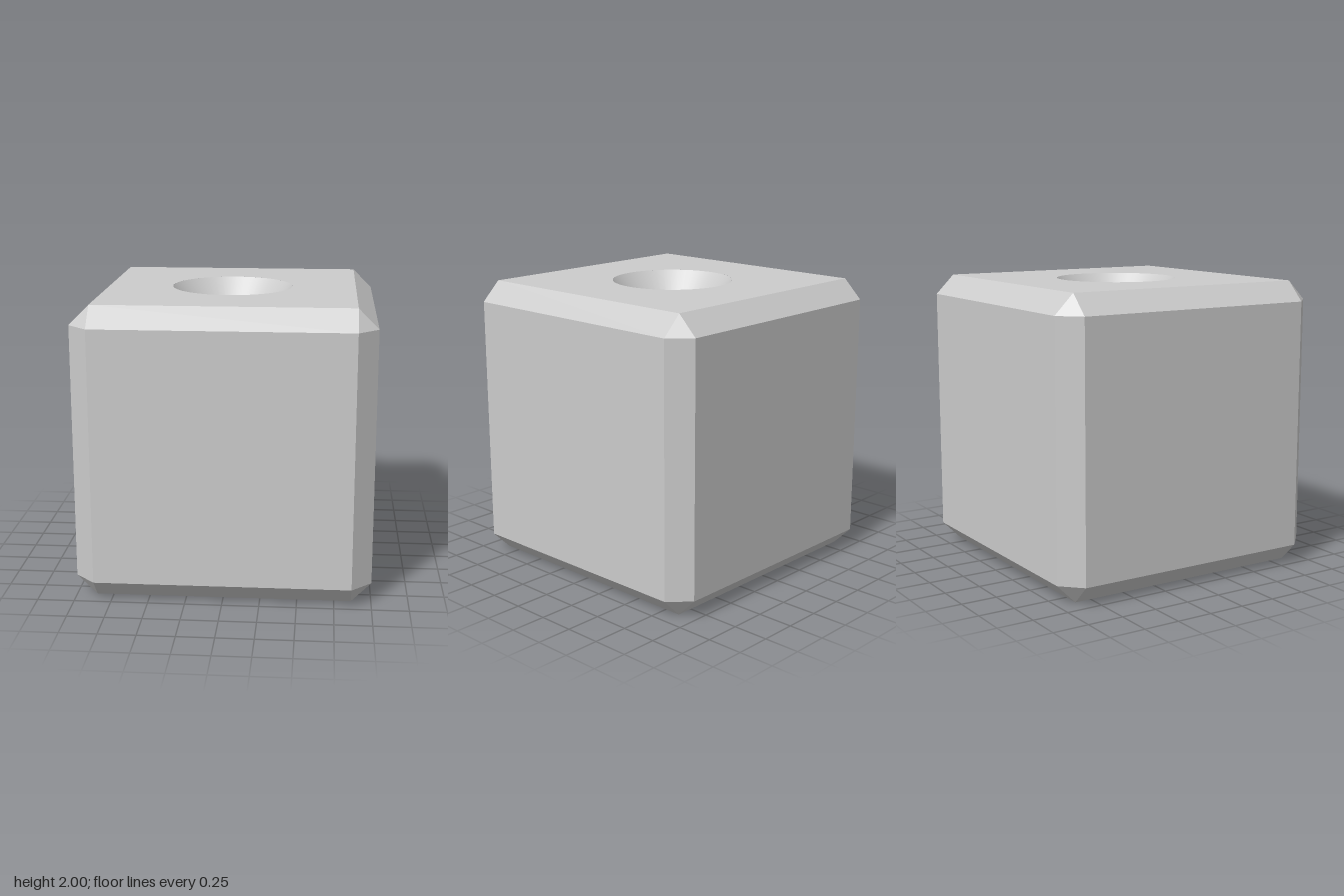
import * as THREE from 'three';
import { ConvexGeometry } from 'three/addons/geometries/ConvexGeometry.js';

const HALF = 1, INNER = 0.865;          // half size and chamfer line
const RIM = 0.42, FLOOR = 0.147, DEPTH = 0.34, SIDES = 48;

export function createModel() {
  const group = new THREE.Group();
  const flat = new THREE.MeshStandardMaterial({ color: 0xcccccc, flatShading: true });
  const smooth = new THREE.MeshStandardMaterial({ color: 0xcccccc });

  const add = (name, geometry, material, y = 0) => {
    const mesh = new THREE.Mesh(geometry, material);
    mesh.name = name;
    mesh.position.y = y;
    group.add(mesh);
    return mesh;
  };

  // Chamfered block: three corner points at each of the eight corners
  const corners = [];
  for (const x of [-1, 1]) for (const y of [-1, 1]) for (const z of [-1, 1]) {
    for (let axis = 0; axis < 3; axis++) {
      const s = [0, 1, 2].map((i) => (i === axis ? HALF : INNER));
      corners.push(new THREE.Vector3(x * s[0], y * s[1], z * s[2]));
    }
  }
  const hull = new ConvexGeometry(corners);

  // Leave the top open so that the recess can be set into it
  const pos = hull.attributes.position;
  const kept = [];
  for (let i = 0; i < pos.count; i += 3) {
    if ([0, 1, 2].every((k) => pos.getY(i + k) > HALF - 1e-4)) continue;
    for (let k = 0; k < 3; k++) kept.push(pos.getX(i + k), pos.getY(i + k), pos.getZ(i + k));
  }
  const shell = new THREE.BufferGeometry();
  shell.setAttribute('position', new THREE.Float32BufferAttribute(kept, 3));
  shell.computeVertexNormals();
  add('chamferedBlock', shell, flat, HALF);

  // Top face with a round opening
  const top = new THREE.Shape([[-1, -1], [1, -1], [1, 1], [-1, 1]]
    .map(([x, y]) => new THREE.Vector2(x * INNER, y * INNER)));
  top.holes.push(new THREE.Path().absarc(0, 0, RIM, 0, Math.PI * 2, true));
  add('topFace', new THREE.ShapeGeometry(top, SIDES).rotateX(-Math.PI / 2), flat, 2 * HALF);

  // Conical recess, its wall facing inward
  const wall = new THREE.LatheGeometry(
    [new THREE.Vector2(RIM, 0), new THREE.Vector2(FLOOR, -DEPTH)], SIDES);
  add('recessWall', wall, smooth, 2 * HALF);
  add('recessFloor', new THREE.CircleGeometry(FLOOR, SIDES).rotateX(-Math.PI / 2), flat, 2 * HALF - DEPTH);

  return group;
}
